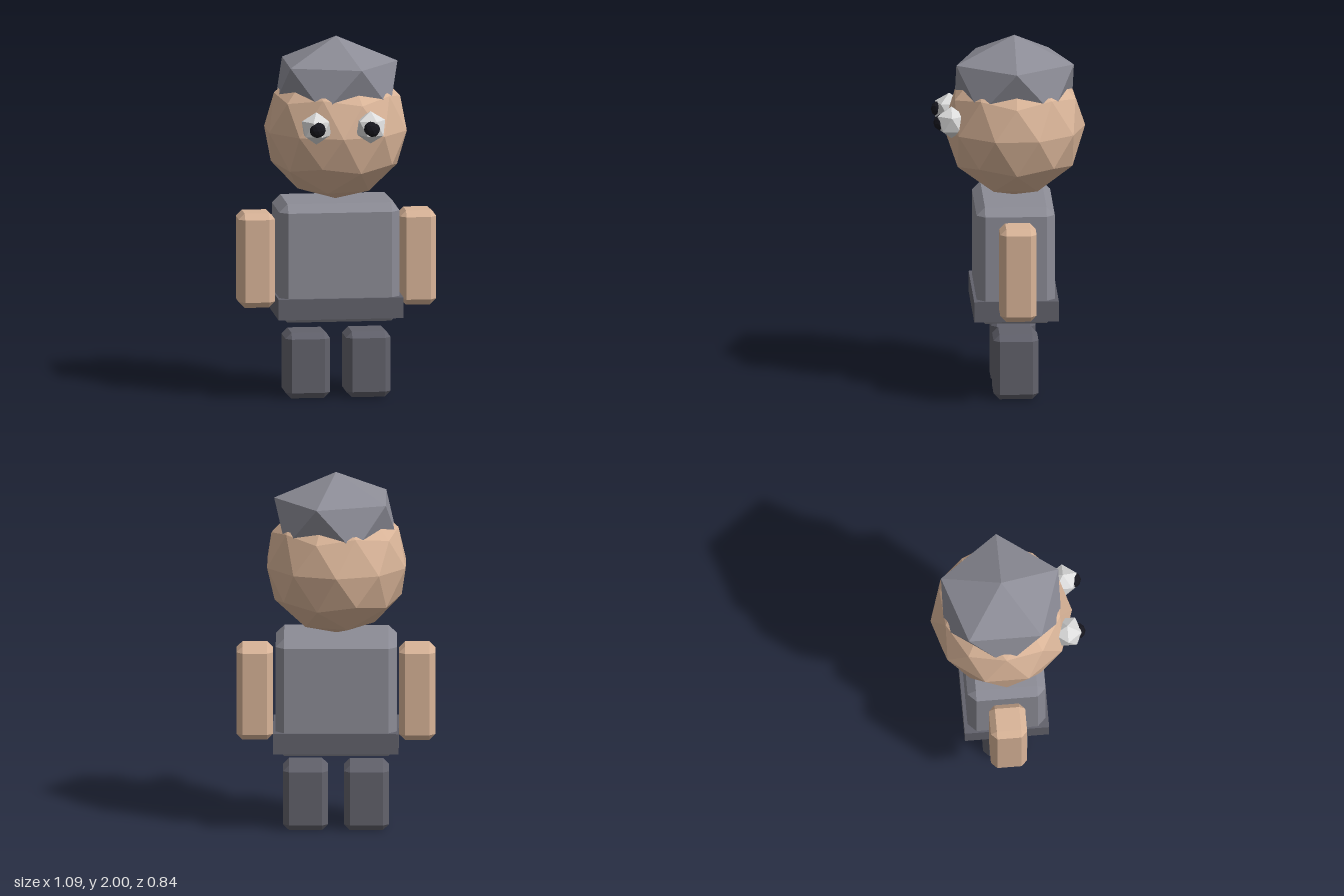
import * as THREE from 'three';
import { ConvexGeometry } from 'three/addons/geometries/ConvexGeometry.js';

function material(name, color) {
  const m = new THREE.MeshStandardMaterial({ color });
  m.name = name;
  return m;
}

// Box with flat chamfers on every edge and a triangle at every corner
function chamferBox(w, h, d, c) {
  const points = [];
  for (const sx of [-1, 1]) for (const sy of [-1, 1]) for (const sz of [-1, 1]) {
    const x = w / 2, y = h / 2, z = d / 2;
    points.push(
      new THREE.Vector3(sx * x, sy * (y - c), sz * (z - c)),
      new THREE.Vector3(sx * (x - c), sy * y, sz * (z - c)),
      new THREE.Vector3(sx * (x - c), sy * (y - c), sz * z)
    );
  }
  return new ConvexGeometry(points);
}

// Faceted ball standing on one of its corners
function facetBall(rx, ry, rz, detail) {
  const g = new THREE.IcosahedronGeometry(1, detail);
  g.rotateZ(-Math.atan(2 / (1 + Math.sqrt(5))));
  g.scale(rx, ry, rz);
  g.computeVertexNormals(); // unshared corners, so flat facets
  return g;
}

export function createModel() {
  const group = new THREE.Group();
  const skin = material('skin', 0xd9b498);
  const shirt = material('shirt grey', 0x8c8c96);
  const trousers = material('trouser grey', 0x62626c);
  const white = material('eye white', 0xdcdcdc);
  const black = material('pupil black', 0x16161e);

  const add = (name, geometry, mat, x, y, z) => {
    const mesh = new THREE.Mesh(geometry, mat);
    mesh.name = name;
    mesh.position.set(x, y, z);
    group.add(mesh);
    return mesh;
  };

  // Head and cap
  add('head', facetBall(0.4, 0.39, 0.39, 1), skin, -0.003, 1.485, -0.03);
  add('cap', facetBall(0.38, 0.262, 0.38, 0), shirt, 0, 1.738, -0.03);

  // Torso and belt
  add('torso', chamferBox(0.665, 0.66, 0.43, 0.046), shirt, -0.002, 0.766, -0.025);
  add('belt', new THREE.BoxGeometry(0.69, 0.115, 0.465), trousers, 0, 0.517, -0.027);

  // Paired parts
  for (const [side, s] of [['left', 1], ['right', -1]]) {
    add(side + 'Arm', chamferBox(0.2, 0.525, 0.2, 0.033), skin, s * 0.446, 0.767, -0.03);
    add(side + 'Leg', chamferBox(0.247, 0.365, 0.247, 0.033), trousers, s * 0.167, 0.1825, -0.028);
    const eye = add(side + 'Eye', facetBall(0.09, 0.09, 0.09, 0), white, s * 0.15, 1.546, 0.322);
    if (s < 0) eye.rotation.y = Math.PI;
    add(side + 'Pupil', facetBall(0.046, 0.046, 0.046, 1), black, s * 0.15, 1.546, 0.376);
  }
  return group;
}
